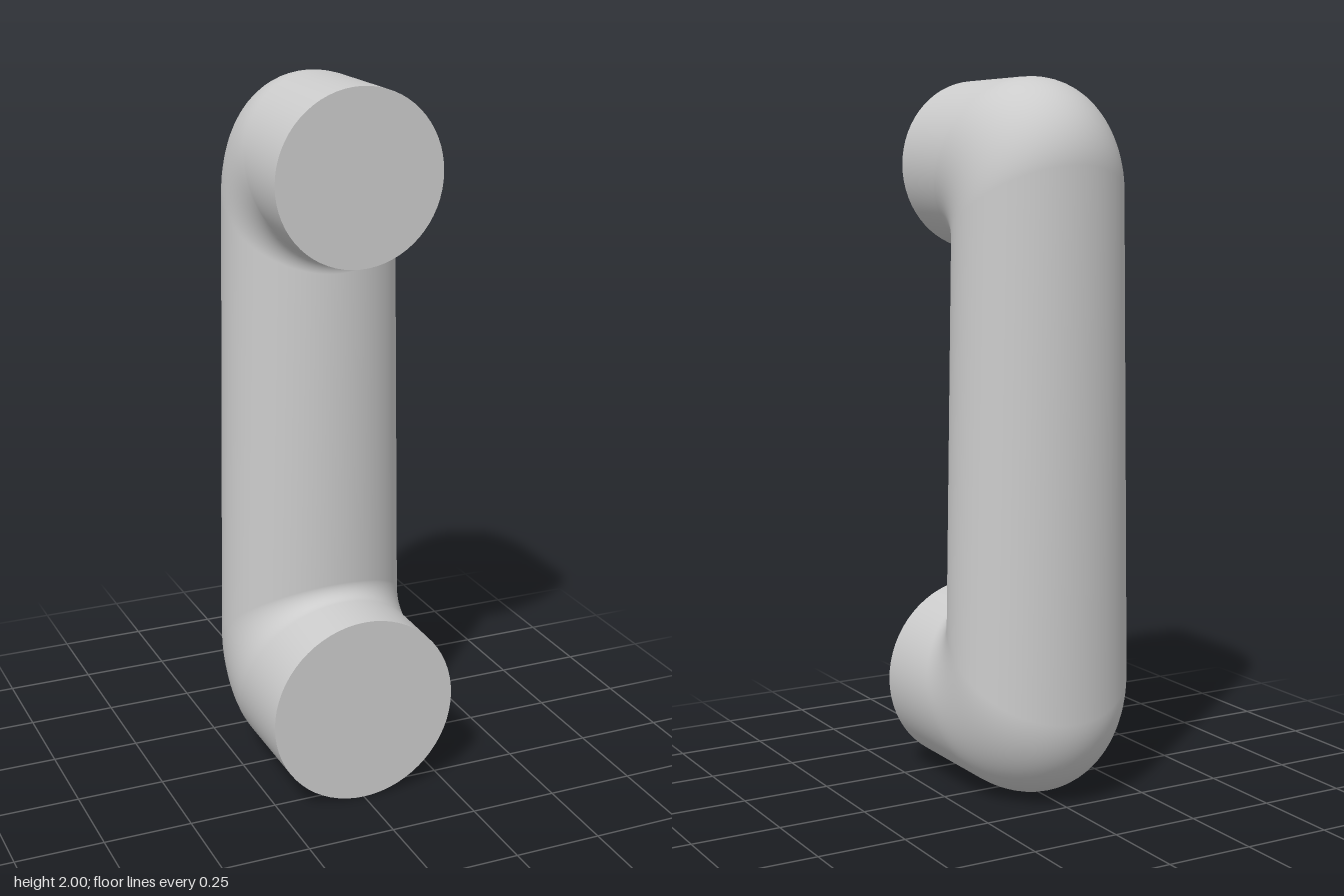
import * as THREE from 'three';

const SIDES = 64;
const ARC = 16;

// One cross-section: its inner and outer points as [z, y], and its half width in x
const ring = (inner, outer, w) => ({ inner, outer, w });

// Rings sweeping round a bend; dir is +1 for the upper bend and -1 for the lower one
function bend(innerC, innerR, outerC, outerR, dir, w0, w1) {
  const rings = [];
  for (let i = 0; i <= ARC; i++) {
    const a = (i / ARC) * Math.PI / 2;
    const s = Math.sin(a), c = Math.cos(a);
    rings.push(ring(
      [innerC[0] - innerR * s, innerC[1] + dir * innerR * c],
      [outerC[0] - outerR[0] * s, outerC[1] + dir * outerR[1] * c],
      THREE.MathUtils.lerp(w0, w1, i / ARC)
    ));
  }
  return rings;
}

// Skin a list of elliptical rings with a smooth closed tube
function skin(rings) {
  const pos = [], index = [];
  for (const { inner, outer, w } of rings) {
    for (let j = 0; j < SIDES; j++) {
      const t = (j / SIDES) * Math.PI * 2;
      const k = (1 - Math.cos(t)) / 2;
      pos.push(
        w * Math.sin(t),
        THREE.MathUtils.lerp(inner[1], outer[1], k),
        THREE.MathUtils.lerp(inner[0], outer[0], k)
      );
    }
  }
  for (let i = 0; i < rings.length - 1; i++) {
    for (let j = 0; j < SIDES; j++) {
      const n = (j + 1) % SIDES;
      const a = i * SIDES + j, c = i * SIDES + n;
      const b = a + SIDES, d = c + SIDES;
      index.push(a, b, c, b, d, c);
    }
  }
  const geo = new THREE.BufferGeometry();
  geo.setAttribute('position', new THREE.Float32BufferAttribute(pos, 3));
  geo.setIndex(index);
  geo.computeVertexNormals();
  return geo;
}

export function createModel() {
  const group = new THREE.Group();
  group.name = 'pullHandle';
  const mat = new THREE.MeshStandardMaterial({ color: 0xcccccc });

  // Upper leg, upper bend, tapering grip, lower bend, lower leg
  const rings = [
    ring([0.255, 1.525], [0.255, 2], 0.238),
    ...bend([0.165, 1.485], 0.04, [-0.05, 1.76], [0.255, 0.24], 1, 0.238, 0.243),
    ...bend([0.165, 0.585], 0.04, [-0.05, 0.25], [0.255, 0.25], -1, 0.27, 0.265).reverse(),
    ring([0.305, 0.542], [0.305, 0], 0.27),
  ];
  const grip = new THREE.Mesh(skin(rings), mat);
  grip.name = 'grip';
  group.add(grip);

  // Flat mounting faces closing both legs
  const addCap = (name, { inner, outer, w }) => {
    const cap = new THREE.Mesh(new THREE.CircleGeometry(1, SIDES), mat);
    cap.name = name;
    cap.scale.set(w, (Math.abs(outer[1] - inner[1])) / 2, 1);
    cap.position.set(0, (inner[1] + outer[1]) / 2, inner[0]);
    group.add(cap);
  };
  addCap('upperMountFace', rings[0]);
  addCap('lowerMountFace', rings[rings.length - 1]);

  return group;
}
